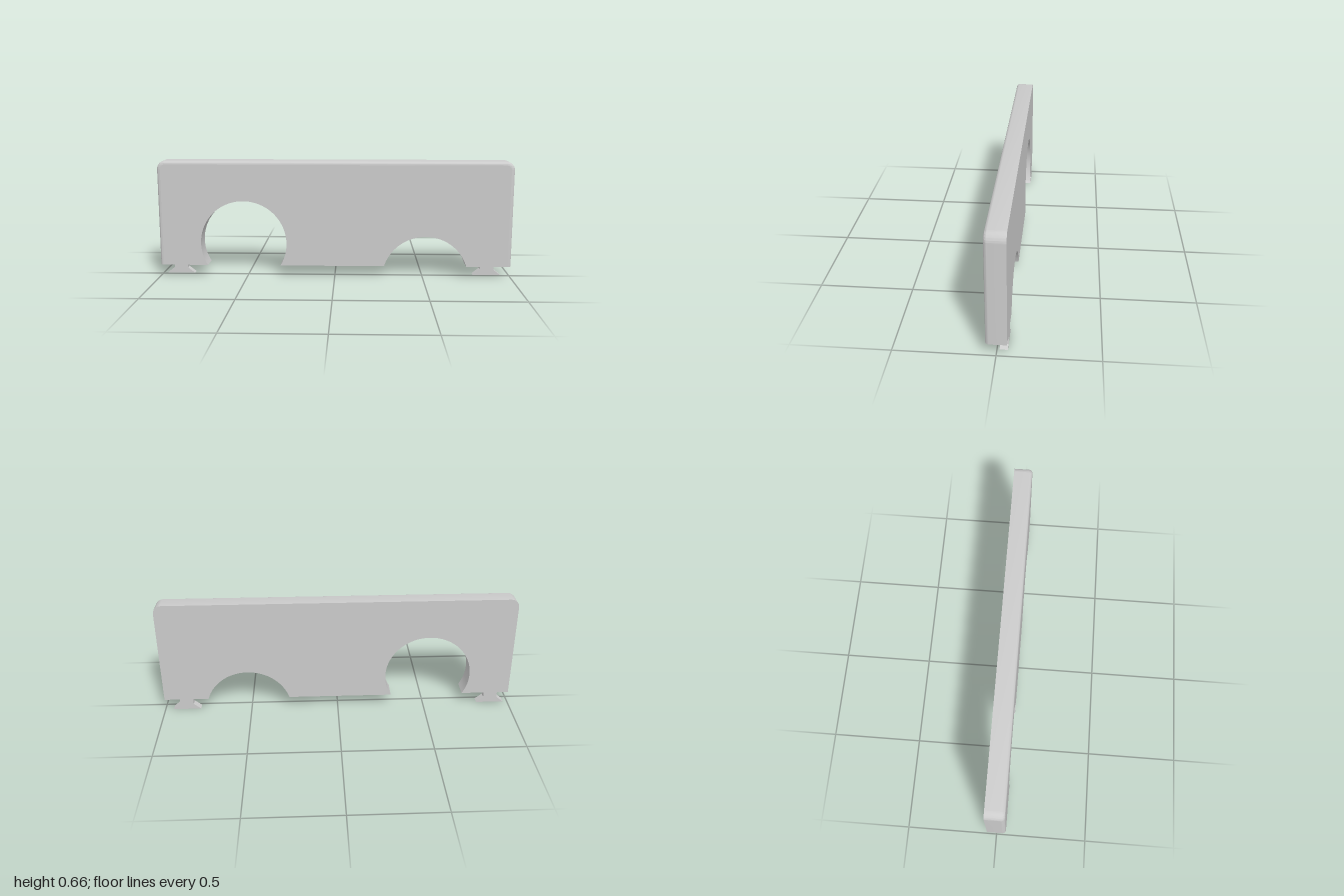
import * as THREE from 'three';
import { toCreasedNormals } from 'three/addons/utils/BufferGeometryUtils.js';

const W = 1, BOTTOM = 0.065, TOP = 0.662;   // panel half width and heights
const BACK = -0.0525, FRONT = 0.0525;       // panel depth range
const R = 0.048, FILLET = 0.02;             // corner radius, front edge rounding
const STEPS = 8;

const material = new THREE.MeshStandardMaterial({ color: 0xcccccc });

// Cuts a round opening into the bottom edge, walking from -x to +x
function cutArch(shape, cx, cy, r) {
  const a = Math.asin((BOTTOM - cy) / r);
  shape.lineTo(cx - r * Math.cos(a), BOTTOM);
  shape.absarc(cx, cy, r, Math.PI - a, a, true);
}

function panelGeometry() {
  const s = new THREE.Shape();
  s.moveTo(-W, BOTTOM);
  cutArch(s, -0.518, 0.192, 0.244);
  cutArch(s, 0.514, -0.007, 0.244);
  s.lineTo(W, BOTTOM);
  s.absarc(W - R, TOP - R, R, 0, Math.PI / 2, false);
  s.absarc(-W + R, TOP - R, R, Math.PI / 2, Math.PI, false);
  s.closePath();

  const geo = new THREE.ExtrudeGeometry(s, {
    depth: STEPS, steps: STEPS, bevelEnabled: false, curveSegments: 36,
  });

  // Round the front edge along the sides and top: each depth level shrinks toward the core
  const p = geo.attributes.position;
  for (let i = 0; i < p.count; i++) {
    const level = Math.round(p.getZ(i));
    const t = Math.max(0, (level - 1) / (STEPS - 1)) * Math.PI / 2;
    const z = level === 0 ? BACK : FRONT - FILLET + FILLET * Math.sin(t);
    const k = 1 - FILLET * (1 - Math.cos(t)) / R;
    const x = p.getX(i), y = p.getY(i);
    const coreX = THREE.MathUtils.clamp(x, -W + R, W - R);
    const coreY = Math.min(y, TOP - R);
    p.setXYZ(i, coreX + (x - coreX) * k, coreY + (y - coreY) * k, z);
  }
  const out = toCreasedNormals(geo, 0.5);

  // Keep the front face perfectly flat in shading
  const q = out.attributes.position, n = out.attributes.normal;
  for (let i = 0; i < q.count; i += 3) {
    if ([0, 1, 2].every((j) => q.getZ(i + j) > FRONT - 1e-5)) {
      for (let j = 0; j < 3; j++) n.setXYZ(i + j, 0, 0, 1);
    }
  }
  return out;
}

// Dovetail foot: a narrow stem on a flared base
function footGeometry() {
  const s = new THREE.Shape([
    [-0.079, 0], [0.079, 0], [0.039, 0.032], [0.039, BOTTOM],
    [-0.039, BOTTOM], [-0.039, 0.032],
  ].map(([x, y]) => new THREE.Vector2(x, y)));
  return new THREE.ExtrudeGeometry(s, { depth: 0.04, bevelEnabled: false });
}

export function createModel() {
  const group = new THREE.Group();
  group.name = 'archedPanel';

  const panel = new THREE.Mesh(panelGeometry(), material);
  panel.name = 'panel';
  group.add(panel);

  const foot = footGeometry();
  for (const [name, x] of [['rightFoot', -0.896], ['leftFoot', 0.874]]) {
    const mesh = new THREE.Mesh(foot, material);
    mesh.name = name;
    mesh.position.set(x, 0, BACK);
    group.add(mesh);
  }
  return group;
}
